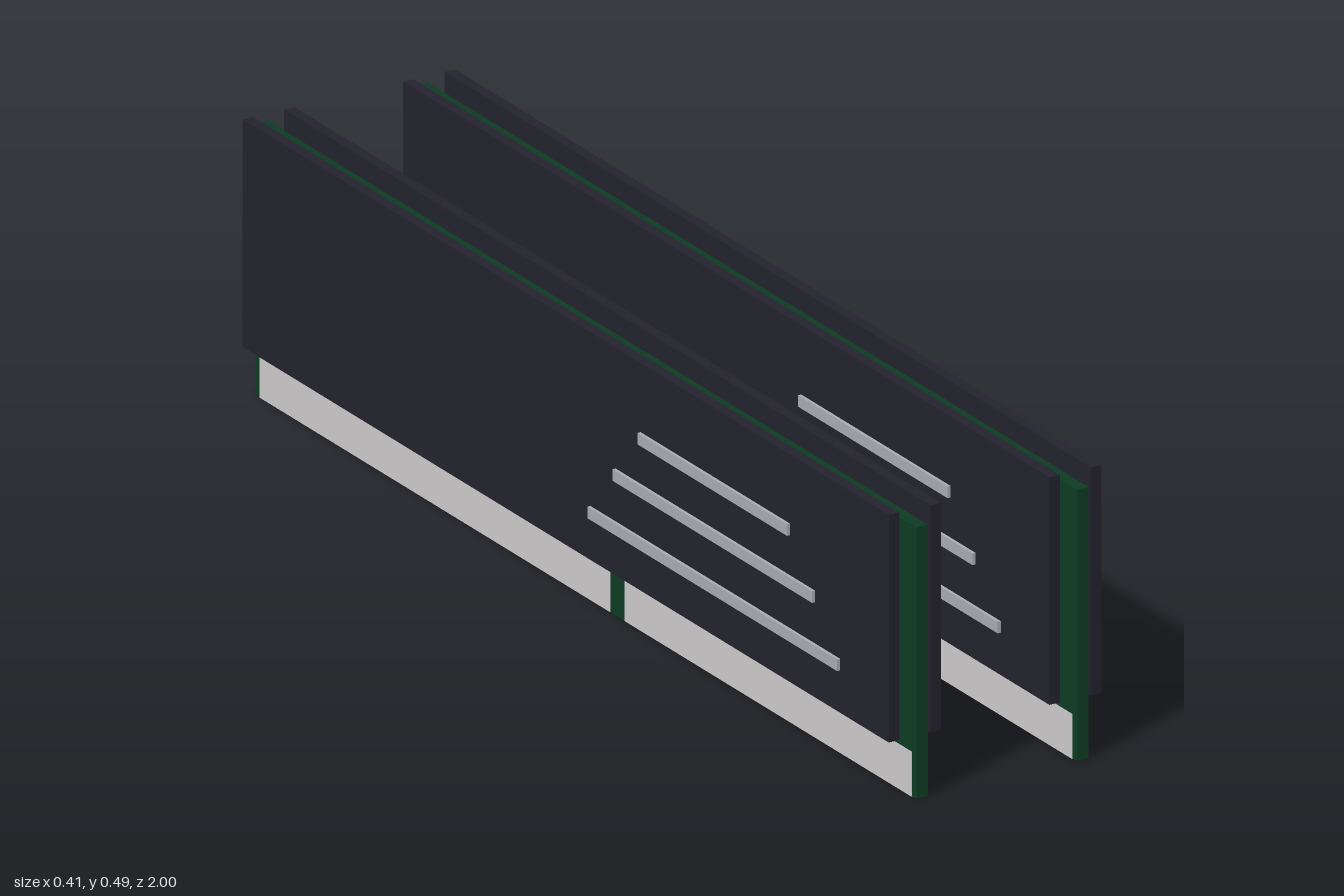
import * as THREE from 'three';

const material = (name, color) => {
  const m = new THREE.MeshStandardMaterial({ color });
  m.name = name;
  return m;
};

export function createModel() {
  const boardGreen = material('board green', 0x0d3b22);
  const spreaderDark = material('spreader dark', 0x23222d);
  const chipBlack = material('chip black', 0x1c1c20);
  const contactMetal = material('contact metal', 0xcbc9c9);
  const stripeSilver = material('stripe silver', 0xa9a9b2);

  // Box given by its [min, max] range on each axis
  const addBox = (parent, name, mat, [x0, x1], [y0, y1], [z0, z1]) => {
    const mesh = new THREE.Mesh(new THREE.BoxGeometry(x1 - x0, y1 - y0, z1 - z0), mat);
    mesh.position.set((x0 + x1) / 2, (y0 + y1) / 2, (z0 + z1) / 2);
    mesh.name = name;
    parent.add(mesh);
  };
  // Range on one side of the board, mirrored by sign
  const sided = (side, a, b) => (side > 0 ? [a, b] : [-b, -a]);

  const createModule = () => {
    const stick = new THREE.Group();
    stick.name = 'memoryModule';

    // Circuit board, key between the contacts, and edge contacts
    addBox(stick, 'board', boardGreen, [-0.0108, 0.0108], [0.001, 0.468], [-1, 1]);
    addBox(stick, 'contactKey', boardGreen, [-0.0112, 0.0112], [0, 0.077], [0.075, 0.118]);
    addBox(stick, 'frontContacts', contactMetal, [-0.012, 0.012], [0, 0.077], [0.118, 0.987]);
    addBox(stick, 'backContacts', contactMetal, [-0.012, 0.012], [0, 0.077], [-0.987, 0.075]);

    // Small controller chip on the left face
    addBox(stick, 'controllerChip', chipBlack, [0.0105, 0.0195], [0.355, 0.399], [-0.04, 0.04]);

    for (const side of [1, -1]) {
      // Row of nine memory chips
      for (let i = -4; i <= 4; i++) {
        const z = i * 0.197;
        addBox(stick, 'memoryChip', chipBlack, sided(side, 0.0105, 0.0235), [0.184, 0.315], [z - 0.078, z + 0.078]);
      }
      // Heat spreader plate with three raised stripes
      addBox(stick, 'heatSpreader', spreaderDark, sided(side, 0.029, 0.0488), [0.098, 0.49], [-0.978, 0.978]);
      [[0.361, 0.452], [0.272, 0.604], [0.181, 0.756]].forEach(([y, length]) => {
        addBox(stick, 'stripe', stripeSilver, sided(side, 0.0465, 0.0545),
          [y - 0.01, y + 0.01], [0.453 - length / 2, 0.453 + length / 2]);
      });
    }
    return stick;
  };

  const model = new THREE.Group();
  model.name = 'memoryModulePair';
  for (const x of [-0.1505, 0.1505]) {
    const stick = createModule();
    stick.position.x = x;
    model.add(stick);
  }
  return model;
}
